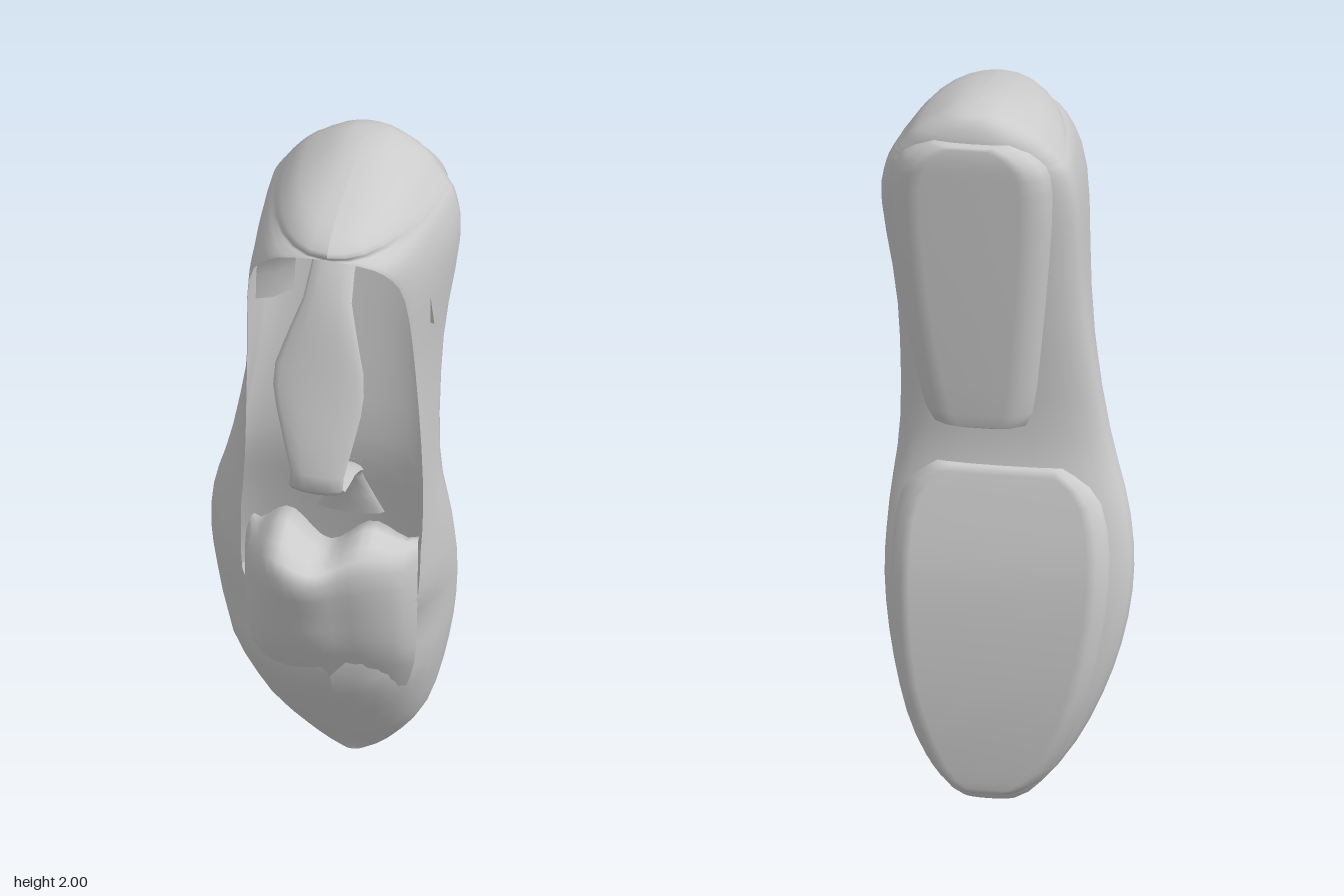
import * as THREE from 'three';

const material = new THREE.MeshStandardMaterial({ color: 0xcccccc, side: THREE.DoubleSide });
const { lerp, clamp } = THREE.MathUtils;

// Catmull-Rom subdivision of a few key rows, column by column.
function smooth(keys, steps) {
  const rows = [];
  const key = (k) => keys[clamp(k, 0, keys.length - 1)];
  for (let k = 0; k < keys.length - 1; k++) {
    for (let s = 0; s < steps; s++) {
      const t = s / steps;
      rows.push(keys[k].map((b, i) => {
        const a = key(k - 1)[i], c = key(k + 1)[i], d = key(k + 2)[i];
        return b + t * ((c - a) + t * ((2 * a - 5 * b + 4 * c - d) + t * (3 * (b - c) + d - a))) / 2;
      }));
    }
  }
  return [...rows, keys.at(-1)];
}

// Skin a list of equally long point rows.
function skin(name, rows) {
  const n = rows[0].length;
  const index = [];
  for (let j = 0; j < rows.length - 1; j++) {
    for (let i = 0; i < n - 1; i++) {
      const a = j * n + i, b = a + 1, c = a + n, d = c + 1;
      index.push(a, c, b, b, c, d);
    }
  }
  const geometry = new THREE.BufferGeometry();
  geometry.setAttribute('position', new THREE.Float32BufferAttribute(rows.flat(2), 3));
  geometry.setIndex(index);
  geometry.computeVertexNormals();
  const mesh = new THREE.Mesh(geometry, material);
  mesh.name = name;
  return mesh;
}

// Slipper stations: y, left x, right x, back z, front z, rim left x, rim right x.
const stations = smooth([
  [0.005, 0.01, 0.07, -0.22, -0.18, 0.04, 0.04],
  [0.04, -0.07, 0.14, -0.27, -0.165, 0.04, 0.04],
  [0.18, -0.19, 0.24, -0.295, -0.07, 0.04, 0.04],
  [0.4, -0.29, 0.3, -0.295, 0.06, 0.04, 0.04],
  [0.62, -0.338, 0.327, -0.275, 0.035, -0.18, 0.25],
  [0.82, -0.328, 0.32, -0.24, 0.03, -0.21, 0.28],
  [1.05, -0.265, 0.297, -0.2, 0.025, -0.2, 0.285],
  [1.4, -0.21, 0.3, -0.23, 0.06, -0.185, 0.275],
  [1.7, -0.195, 0.337, -0.262, 0.14, -0.16, 0.265],
  [1.82, -0.175, 0.322, -0.275, 0.205, -0.09, 0.225],
  [1.86, -0.152, 0.302, -0.278, 0.235, 0.0, 0.15],
  [1.872, -0.143, 0.293, -0.28, 0.244, 0.08, 0.08],
  [1.895, -0.125, 0.275, -0.282, 0.248, 0.08, 0.08],
  [1.94, -0.08, 0.235, -0.28, 0.17, 0.08, 0.08],
  [1.99, 0.01, 0.15, -0.25, -0.05, 0.08, 0.08],
  [2.0, 0.079, 0.081, -0.151, -0.149, 0.08, 0.08],
], 3);

// One horizontal section, from the left rim around the back to the right rim.
function section([y, xl, xr, zb, zf, rimLeft, rimRight]) {
  const points = [];
  const steps = 7, xc = (xl + xr) / 2;
  const zw = zb + Math.min(0.09, 0.4 * (zf - zb));
  const gap = Math.max(0, rimRight - rimLeft) / 2, mid = (rimLeft + rimRight) / 2;
  const front = lerp(0.95, 1.5, Math.min(1, gap * 5));
  const quarter = (wide, inner, z, power, first, last) => {
    for (let i = 0; i < steps; i++) {
      const a = lerp(first, last, i / steps) * Math.PI / 2;
      const c = Math.max(0, Math.cos(a)) ** power, s = Math.sin(a) ** power;
      points.push([lerp(inner, wide, c), y, lerp(zw, z, s)]);
    }
  };
  quarter(xl, mid - gap, zf, front, 1, 0);
  quarter(xl, xc, zb, 0.8, 0, 1);
  quarter(xr, xc, zb, 0.8, 1, 0);
  quarter(xr, mid + gap, zf, front, 0, 1);
  points.push([mid + gap, y, zf]);
  return points;
}

// Rounded pad on the underside: bevel width, then y, left x, right x, back z.
function pad(name, bevel, keys) {
  const sections = smooth(keys, 3).map(([y, l, r, z]) => {
    const half = [[0, 0], [0.4, 0.005], [0.8, 0.03], [1, 0.075]];
    return [
      ...half.toReversed().map(([dx, dz]) => [l + 0.03 - bevel * dx, y, z + dz]),
      ...half.map(([dx, dz]) => [r - 0.03 + bevel * dx, y, z + dz]),
    ];
  });
  const cap = (s) => s.map(([x, y]) => [x, y, s[0][2]]);
  return skin(name, [cap(sections[0]), ...sections, cap(sections.at(-1))]);
}

export function createModel() {
  const model = new THREE.Group();
  model.name = 'slipper';
  model.add(skin('upper', stations.map(section)));

  // Inner lining, joined to the upper along the opening.
  const lining = stations.filter(([y]) => y > 0.5 && y < 1.865).map(([y, l, r, zb, zf, rimLeft, rimRight]) =>
    section([y, Math.min(l + 0.025, rimLeft), Math.max(r - 0.025, rimRight), zb + 0.06, zf, rimLeft, rimRight]));
  model.add(skin('lining', lining));

  // Sole pads under the ball of the foot and the heel.
  model.add(pad('frontSole', 0.06, [
    [0.05, -0.03, 0.1, -0.295], [0.12, -0.11, 0.17, -0.302], [0.35, -0.21, 0.25, -0.31],
    [0.65, -0.26, 0.275, -0.292], [0.87, -0.235, 0.255, -0.246], [0.965, -0.14, 0.17, -0.222],
  ]));
  model.add(pad('heelSole', 0.085, [
    [1.08, 0.01, 0.12, -0.228], [1.12, -0.03, 0.17, -0.24], [1.45, -0.065, 0.225, -0.273],
    [1.78, -0.085, 0.245, -0.302], [1.88, -0.05, 0.21, -0.31], [1.925, 0.02, 0.14, -0.308],
  ]));

  // Gathered vamp: y, left x, right x, front z, edge z, lift of the two side folds.
  const vamp = smooth([
    [0.32, -0.15, 0.22, 0.0, -0.05, 0], [0.44, -0.185, 0.255, 0.08, 0.0, 0],
    [0.54, -0.195, 0.265, 0.145, 0.015, 0], [0.66, -0.2, 0.27, 0.195, 0.025, 0],
    [0.78, -0.2, 0.27, 0.255, 0.02, 0.03], [0.82, -0.195, 0.265, 0.19, 0.0, 0.06],
    [0.82, -0.19, 0.26, 0.03, -0.04, 0.08], [0.72, -0.18, 0.25, -0.08, -0.12, 0],
  ], 2);
  model.add(skin('vamp', vamp.map(([y, l, r, z, edge, lift]) => {
    const row = [];
    for (let i = 0; i <= 18; i++) {
      const u = i / 18, arch = Math.sin(u * Math.PI) ** 0.6;
      const fold = Math.sin(u * Math.PI * 2) ** 2 * lerp(1.1, 0.75, u);
      const front = z * lerp(1.1, 0.72, clamp((u - 0.2) / 0.4, 0, 1));
      row.push([lerp(l, r, u), y + lift * fold, lerp(edge, front, arch)]);
    }
    return row;
  })));

  // Bowed tongue and its narrow tail inside: y, z, left x, right x.
  const path = smooth([
    [1.82, 0.1, 0.01, 0.13], [1.69, 0.17, -0.005, 0.127], [1.5, 0.215, -0.07, 0.17],
    [1.38, 0.245, -0.06, 0.17], [1.21, 0.29, -0.01, 0.135], [1.155, 0.275, -0.02, 0.135],
    [1.12, 0.14, -0.02, 0.13], [1.06, 0.03, -0.015, 0.125], [0.98, -0.06, 0.022, 0.1],
    [0.84, -0.1, -0.04, 0.15],
  ], 2);
  model.add(skin('tongue', path.map(([y, z, l, r], k) => {
    const p = path[Math.max(0, k - 1)], q = path[Math.min(path.length - 1, k + 1)];
    const dy = q[0] - p[0], dz = q[1] - p[1], length = Math.hypot(dy, dz);
    const ring = [];
    for (let i = 0; i <= 12; i++) {
      const a = i / 12 * Math.PI * 2, h = Math.sin(a) * 0.018;
      ring.push([(l + r) / 2 + Math.cos(a) * (r - l) / 2, y + h * dz / length, z - h * dy / length]);
    }
    return ring;
  })));

  // Folded lining flaps beside the heel, growing out of the side walls.
  for (const side of [-1, 1]) {
    const rows = [0, 1, 2, 3].map((k) => {
      const y = 1.54 + k * 0.087, outer = 0.245 - 0.006 * k * k, z = 0.013 * k * k;
      return [0, 0.045, 0.09].map((d) => [0.065 + side * (outer - d), y, z - d * d * 9]);
    });
    model.add(skin(side < 0 ? 'rightFlap' : 'leftFlap', rows));
  }
  return model;
}
